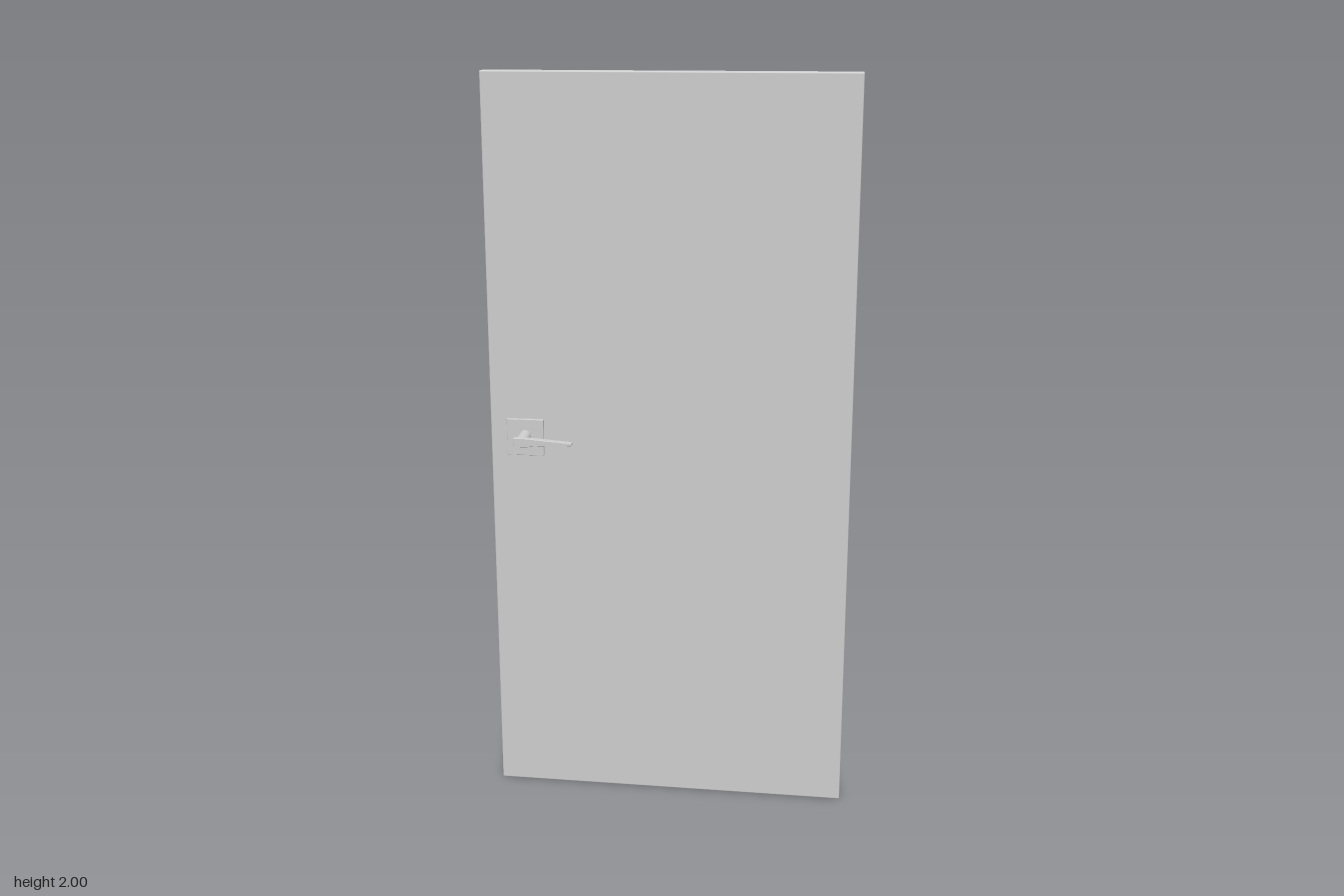
import * as THREE from 'three';
import { RoundedBoxGeometry } from 'three/addons/geometries/RoundedBoxGeometry.js';

const material = new THREE.MeshStandardMaterial({ color: 0xcccccc });
const HALF = 0.0225; // half the door thickness
const HANDLE_X = -0.391;
const HANDLE_Y = 1.039;

function part(name, geometry, x = 0, y = 0, z = 0) {
  const mesh = new THREE.Mesh(geometry, material);
  mesh.name = name;
  mesh.position.set(x, y, z);
  return mesh;
}

// Lever outline seen from the front: tall at the spindle, a thin blade at the tip
function leverGeometry() {
  const shape = new THREE.Shape();
  shape.moveTo(-0.016, -0.012);
  shape.lineTo(0.016, -0.012);
  shape.quadraticCurveTo(0.06, -0.005, 0.141, -0.004);
  shape.lineTo(0.141, 0.003);
  shape.quadraticCurveTo(0.07, 0.008, 0.016, 0.012);
  shape.lineTo(-0.016, 0.012);
  const bevel = 0.001;
  const geometry = new THREE.ExtrudeGeometry(shape, {
    depth: 0.016, curveSegments: 8,
    bevelThickness: bevel, bevelSize: bevel, bevelOffset: -bevel, bevelSegments: 1,
  });
  return geometry.translate(0, 0, -0.008);
}

// Round neck at the plate, flattening towards the lever
function spindleGeometry(length) {
  const geometry = new THREE.CylinderGeometry(0.016, 0.016, length, 24, 4);
  geometry.rotateX(Math.PI / 2);
  const p = geometry.attributes.position;
  for (let i = 0; i < p.count; i++) {
    const t = p.getZ(i) / length + 0.5;
    p.setY(i, p.getY(i) * (1.06 - 0.34 * t));
  }
  geometry.computeVertexNormals();
  return geometry;
}

// One handle set; side is +1 for the front and -1 for the back
function handle(side) {
  const group = new THREE.Group();
  group.name = side > 0 ? 'frontHandle' : 'backHandle';
  const spindle = part('spindle', spindleGeometry(0.066), HANDLE_X, HANDLE_Y, side * 0.06);
  if (side < 0) spindle.rotation.y = Math.PI;
  group.add(
    part('plate', new RoundedBoxGeometry(0.101, 0.101, 0.012, 2, 0.0015), HANDLE_X, 1.035, side * (HALF + 0.003)),
    spindle,
    part('lever', leverGeometry(), HANDLE_X, HANDLE_Y, side * 0.092),
  );
  return group;
}

export function createModel() {
  const model = new THREE.Group();
  model.name = 'door';
  // Door leaf with softly eased edges
  model.add(part('doorLeaf', new RoundedBoxGeometry(0.975, 2, HALF * 2, 3, 0.004), 0, 1, 0));
  // Handles on both faces
  for (const side of [1, -1]) model.add(handle(side));
  return model;
}
